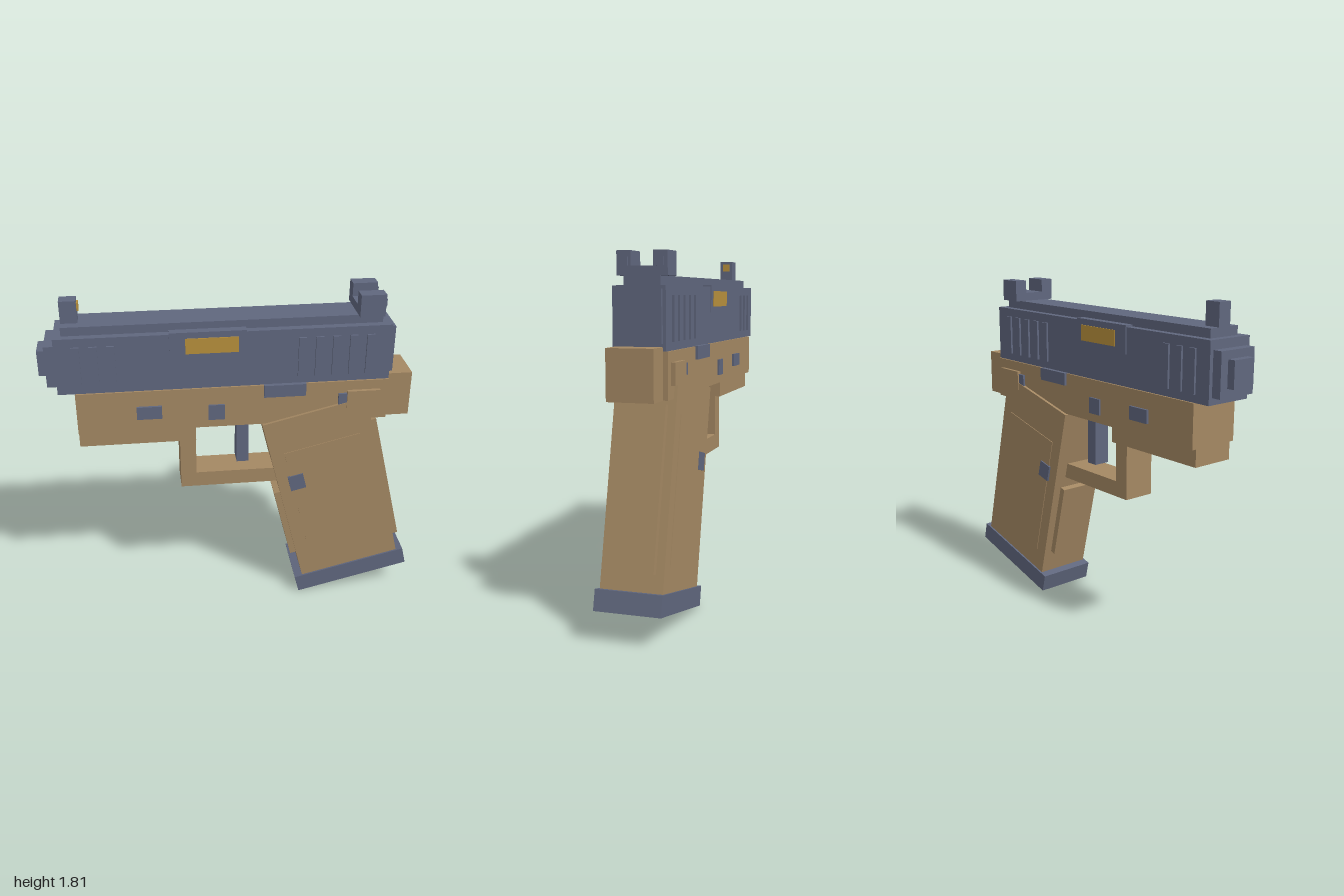
import * as THREE from 'three';

export function createModel() {
  const mat = (name, color) => {
    const m = new THREE.MeshStandardMaterial({ color });
    m.name = name;
    return m;
  };
  const slate = mat('slate metal', 0x60677e);
  const tan = mat('tan polymer', 0xa48863);
  const gold = mat('brass', 0xb8903c);

  const model = new THREE.Group();
  model.name = 'pistol';

  const group = (name) => {
    const g = new THREE.Group();
    g.name = name;
    model.add(g);
    return g;
  };

  // Box given by its limits on each axis
  const box = (parent, name, material, x0, x1, y0, y1, z0, z1) => {
    const mesh = new THREE.Mesh(new THREE.BoxGeometry(x1 - x0, y1 - y0, z1 - z0), material);
    mesh.position.set((x0 + x1) / 2, (y0 + y1) / 2, (z0 + z1) / 2);
    mesh.name = name;
    parent.add(mesh);
    return mesh;
  };
  // Box centred on z = 0
  const mid = (parent, name, material, x0, x1, y0, y1, h) =>
    box(parent, name, material, x0, x1, y0, y1, -h, h);
  // The same detail on both flanks, from depth z0 out to z1
  const pair = (parent, name, material, x0, x1, y0, y1, z0, z1) => {
    box(parent, name + 'Left', material, x0, x1, y0, y1, z0, z1);
    box(parent, name + 'Right', material, x0, x1, y0, y1, -z1, -z0);
  };

  // Slide with top rib, back plate and stepped muzzle
  const slide = group('slide');
  mid(slide, 'slideBody', slate, -0.91, 0.8, 1.355, 1.655, 0.13);
  mid(slide, 'topRib', slate, -0.87, 0.755, 1.655, 1.7, 0.09);
  mid(slide, 'backPlate', slate, 0.8, 0.82, 1.39, 1.64, 0.115);
  mid(slide, 'muzzleCollar', slate, -0.96, -0.91, 1.39, 1.61, 0.11);
  mid(slide, 'muzzle', slate, -1.0, -0.96, 1.435, 1.57, 0.065);

  // Grip serrations
  for (const x of [-0.805, -0.717, -0.63, 0.336, 0.424, 0.512, 0.6, 0.688]) {
    pair(slide, 'serration', slate, x - 0.02, x + 0.02, 1.395, 1.61, 0.125, 0.141);
  }

  // Ejection port
  mid(slide, 'portPanel', slate, -0.34, 0.05, 1.52, 1.664, 0.135);
  pair(slide, 'port', gold, -0.26, 0.01, 1.55, 1.632, 0.134, 0.14);

  // Sights
  const sights = group('sights');
  mid(sights, 'frontSight', slate, -0.87, -0.785, 1.7, 1.815, 0.037);
  mid(sights, 'frontSightDot', gold, -0.785, -0.776, 1.758, 1.8, 0.02);
  mid(sights, 'rearSightBase', slate, 0.625, 0.755, 1.7, 1.745, 0.09);
  pair(sights, 'rearSightPost', slate, 0.625, 0.755, 1.7, 1.815, 0.055, 0.125);
  pair(sights, 'rearSightDot', slate, 0.755, 0.764, 1.745, 1.785, 0.068, 0.108);

  // Frame, rail and tang
  const frame = group('frame');
  mid(frame, 'frameBody', tan, -0.825, 0.8, 1.13, 1.355, 0.14);
  mid(frame, 'dustCover', tan, -0.825, -0.215, 1.04, 1.13, 0.115);
  mid(frame, 'tang', tan, 0.8, 0.93, 1.13, 1.375, 0.115);

  // Trigger and guard
  mid(frame, 'guardFront', tan, -0.3, -0.215, 0.82, 1.04, 0.087);
  mid(frame, 'guardBottom', tan, -0.3, 0.3, 0.735, 0.82, 0.087);
  mid(frame, 'trigger', slate, 0.01, 0.075, 0.85, 1.13, 0.045);

  // Controls on both flanks
  pair(frame, 'takedownLever', slate, -0.52, -0.39, 1.2, 1.27, 0.135, 0.153);
  pair(frame, 'framePin', slate, -0.15, -0.065, 1.175, 1.26, 0.135, 0.15);
  pair(frame, 'slideStop', slate, 0.14, 0.36, 1.29, 1.357, 0.125, 0.154);
  pair(frame, 'safetyLever', slate, 0.535, 0.64, 1.225, 1.288, 0.135, 0.153);
  pair(frame, 'safetyPlate', tan, 0.58, 0.755, 1.195, 1.303, 0.135, 0.16);

  // Raked grip, built upright in its own tilted group
  const grip = group('grip');
  grip.position.set(0.535, 0.688, 0);
  grip.rotation.z = THREE.MathUtils.degToRad(13.9);
  mid(grip, 'gripBody', tan, -0.284, 0.284, -0.53, 0.522, 0.156);
  mid(grip, 'gripPanel', tan, -0.21, 0.21, -0.4, 0.32, 0.16);
  mid(grip, 'backStrap', tan, 0.27, 0.318, -0.432, 0.355, 0.115);
  mid(grip, 'frontStrap', tan, -0.318, -0.27, -0.381, 0.055, 0.11);
  pair(grip, 'magazineRelease', slate, -0.224, -0.138, 0.078, 0.17, 0.15, 0.167);
  mid(grip, 'magazineBase', slate, -0.329, 0.321, -0.622, -0.52, 0.166);

  return model;
}
